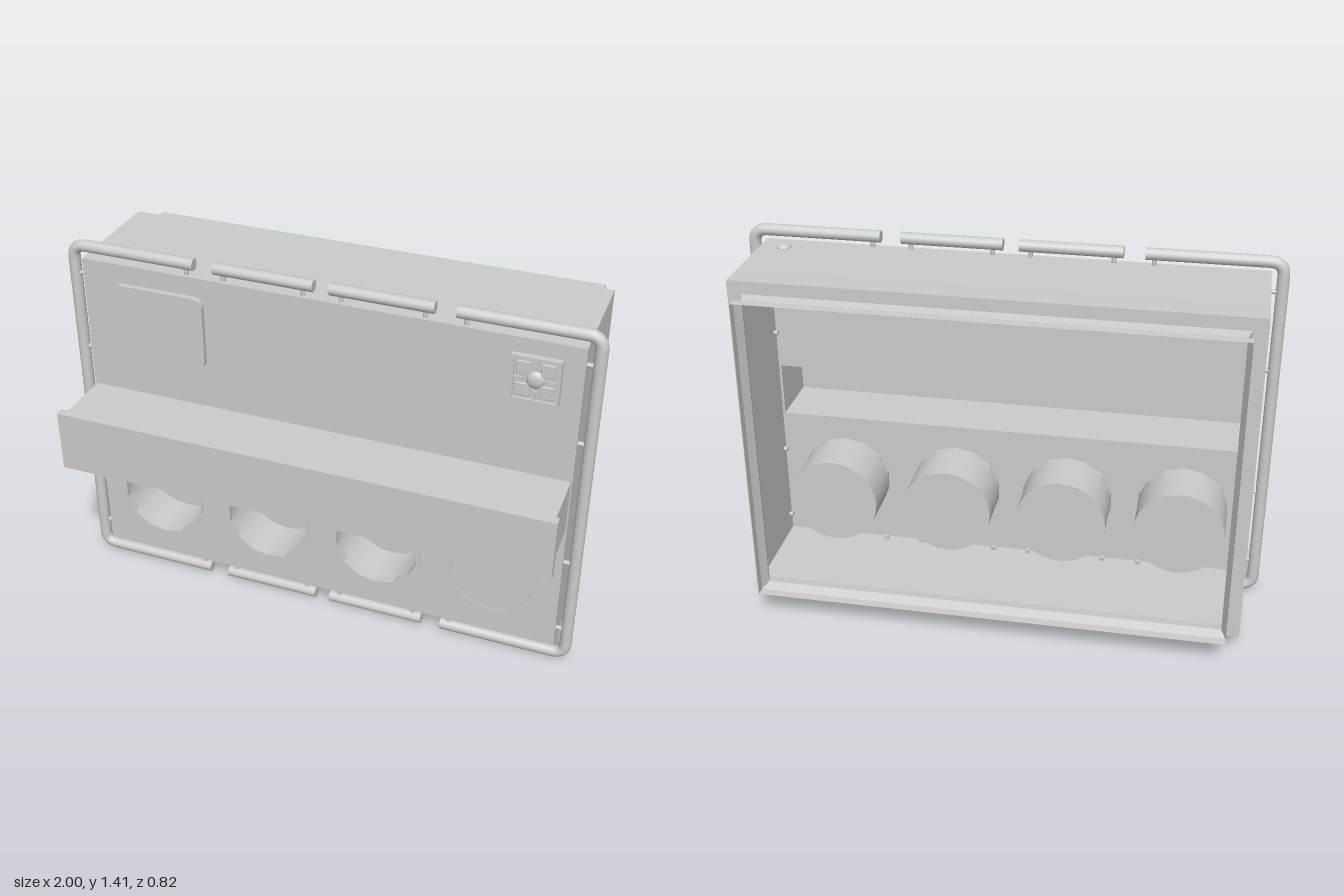
import * as THREE from 'three';
import { RoundedBoxGeometry } from 'three/addons/geometries/RoundedBoxGeometry.js';

const smooth = new THREE.MeshStandardMaterial({ color: 0xcccccc, side: THREE.DoubleSide });
const flat = new THREE.MeshStandardMaterial({ color: 0xcccccc, side: THREE.DoubleSide, flatShading: true });

const FRONT = 0.14, RAIL_Z = 0.12, RAIL_R = 0.0225;

function add(parent, name, geometry, x = 0, y = 0, z = 0, material = smooth) {
  const mesh = new THREE.Mesh(geometry, material);
  mesh.name = name;
  mesh.position.set(x, y, z);
  parent.add(mesh);
  return mesh;
}

const box = (parent, name, w, h, d, x, y, z) =>
  add(parent, name, new THREE.BoxGeometry(w, h, d), x, y, z, flat);

// Thin rectangular sleeve through sections [z, halfWidth, bottom, top]
function sleeve(sections) {
  const pos = [], index = [];
  sections.forEach(([z, w, b, t], i) => {
    pos.push(-w, b, z, w, b, z, w, t, z, -w, t, z);
    if (i === 0) return;
    for (let k = 0; k < 4; k++) {
      const n = (k + 1) % 4, p = (i - 1) * 4, q = i * 4;
      index.push(p + k, q + k, q + n, p + k, q + n, p + n);
    }
  });
  const g = new THREE.BufferGeometry();
  g.setAttribute('position', new THREE.Float32BufferAttribute(pos, 3));
  g.setIndex(index);
  const out = g.toNonIndexed();
  out.computeVertexNormals();
  return out;
}

function rectPath(path, w, b, t) {
  path.moveTo(-w, b);
  path.lineTo(w, b);
  path.lineTo(w, t);
  path.lineTo(-w, t);
  path.closePath();
  return path;
}

// Round rod between two points
function rod(parent, name, a, b, r) {
  const dir = b.clone().sub(a);
  const mesh = add(parent, name, new THREE.CylinderGeometry(r, r, dir.length(), 12));
  mesh.position.copy(a).add(b).multiplyScalar(0.5);
  mesh.quaternion.setFromUnitVectors(new THREE.Vector3(0, 1, 0), dir.normalize());
  return mesh;
}

export function createModel() {
  const root = new THREE.Group();
  root.name = 'controlBox';
  const holeXs = [-0.68, -0.225, 0.225, 0.68], holeY = 0.335;

  // Hollow casing, stepping in to a grooved collar that is open at the back
  add(root, 'casing', sleeve([
    [FRONT, 0.935, 0.065, 1.345],
    [-0.19, 0.935, 0.065, 1.347],
    [-0.30, 0.935, 0.065, 1.348],
    [-0.30, 0.882, 0.115, 1.3],
    [-0.34, 0.868, 0.12, 1.292],
    [-0.375, 0.886, 0.105, 1.307],
    [-0.41, 0.886, 0.105, 1.307],
  ]), 0, 0, 0, flat);

  // Front panel with round openings and a slot behind the shelf
  const panel = rectPath(new THREE.Shape(), 0.935, 0.065, 1.345);
  panel.holes.push(rectPath(new THREE.Path(), 0.928, 0.605, 0.815));
  for (const x of holeXs) {
    const hole = new THREE.Path();
    hole.absarc(x, holeY, 0.174, 0, Math.PI * 2, true);
    panel.holes.push(hole);
  }
  add(root, 'frontPanel', new THREE.ShapeGeometry(panel, 28), 0, 0, FRONT, flat);

  // Shelf, hollow from behind, with a raised lip
  add(root, 'shelf', sleeve([[0.385, 0.93, 0.605, 0.815], [FRONT, 0.93, 0.605, 0.815]]), 0, 0, 0, flat);
  box(root, 'shelfLip', 1.89, 0.24, 0.035, 0, 0.709, 0.393);

  // Round cups with faceted rims; the last one is covered
  holeXs.forEach((x, i) => {
    const cup = new THREE.Group();
    cup.name = 'cup';
    cup.position.set(x, holeY, FRONT);
    root.add(cup);
    add(cup, 'cupWall', new THREE.CylinderGeometry(0.174, 0.174, 0.2, 28, 1, true).rotateX(Math.PI / 2), 0, 0, -0.1);
    add(cup, 'cupFloor', new THREE.CircleGeometry(0.174, 28), 0, 0, -0.2);
    const profile = [[0.165, -0.02], [0.165, 0.005], [0.178, 0.005], [0.178, -0.02]]
      .map(([r, y]) => new THREE.Vector2(r, y));
    add(cup, 'cupRim', new THREE.LatheGeometry(profile, 14).rotateX(Math.PI / 2), 0, 0, 0, flat);
    if (i === 3) add(cup, 'cupCover', new THREE.CircleGeometry(0.17, 28), 0, 0, 0.001);
  });

  // Screen plate with rounded corners
  const screen = new THREE.Shape();
  const w = 0.181, h = 0.144, r = 0.035;
  screen.absarc(w - r, h - r, r, 0, Math.PI / 2);
  screen.absarc(r - w, h - r, r, Math.PI / 2, Math.PI);
  screen.absarc(r - w, r - h, r, Math.PI, Math.PI * 1.5);
  screen.absarc(w - r, r - h, r, Math.PI * 1.5, Math.PI * 2);
  add(root, 'screen', new THREE.ExtrudeGeometry(screen, { depth: 0.021, bevelEnabled: false, curveSegments: 6 }),
    -0.63, 1.127, FRONT);

  // Square direction pad: plate, frame, four spokes and a centre dome
  const pad = new THREE.Group();
  pad.name = 'directionPad';
  pad.position.set(0.775, 1.2, FRONT);
  root.add(pad);
  box(pad, 'padPlate', 0.165, 0.165, 0.012, 0, 0, 0.006);
  for (let i = 0; i < 4; i++) {
    const side = new THREE.Group();
    side.name = 'padSide';
    side.rotation.z = i * Math.PI / 2;
    pad.add(side);
    box(side, 'padFrame', 0.174, 0.012, 0.022, 0, 0.081, 0.011);
    box(side, 'padSpoke', 0.01, 0.035, 0.018, 0, 0.06, 0.009);
    add(side, 'padKey', new RoundedBoxGeometry(0.05, 0.05, 0.008, 2, 0.003), 0.042, 0.042, 0.014);
  }
  add(pad, 'padDome', new THREE.SphereGeometry(0.033, 20, 12).scale(1, 1, 0.5), 0, 0, 0.01);

  // Button on the top
  add(root, 'topButton', new THREE.SphereGeometry(0.028, 20, 12).scale(1, 0.5, 1), 0.843, 1.347, 0.055);

  // Guard rails around the casing
  const v = (x, y) => new THREE.Vector3(x, y, RAIL_Z);
  const X = 0.9775, Y0 = RAIL_R, Y1 = 1.41 - RAIL_R, C = 0.05;
  for (const s of [-1, 1]) {
    // C-shaped side rail with rounded corners
    const path = new THREE.CurvePath();
    const bend = (a, c, b) => path.add(new THREE.QuadraticBezierCurve3(a, c, b));
    path.add(new THREE.LineCurve3(v(s * 0.488, Y1), v(s * (X - C), Y1)));
    bend(v(s * (X - C), Y1), v(s * X, Y1), v(s * X, Y1 - C));
    path.add(new THREE.LineCurve3(v(s * X, Y1 - C), v(s * X, Y0 + C)));
    bend(v(s * X, Y0 + C), v(s * X, Y0), v(s * (X - C), Y0));
    path.add(new THREE.LineCurve3(v(s * (X - C), Y0), v(s * 0.488, Y0)));
    add(root, 'sideRail', new THREE.TubeGeometry(path, 160, RAIL_R, 14));
    for (const y of [Y0, Y1]) {
      add(root, 'railEnd', new THREE.CircleGeometry(RAIL_R, 14).rotateY(Math.PI / 2), s * 0.488, y, RAIL_Z);
      rod(root, 'middleRail', v(s * 0.03, y), v(s * 0.41, y), RAIL_R);
    }

    // Pins holding the rails, poking slightly into the casing
    for (const y of [0.14, 0.45, 0.965, 1.275]) {
      rod(root, 'sidePin', v(s * 0.92, y), v(s * X, y), 0.009);
    }
    for (const x of [0.07, 0.375, 0.52]) {
      rod(root, 'topPin', v(s * x, 1.33), v(s * x, Y1), 0.009);
      rod(root, 'bottomPin', v(s * x, 0.08), v(s * x, Y0), 0.009);
    }
  }

  // Shelf end plates
  for (const s of [-1, 1]) box(root, 'shelfEnd', 0.004, 0.21, 0.24, s * 0.928, 0.71, 0.262);
  return root;
}
